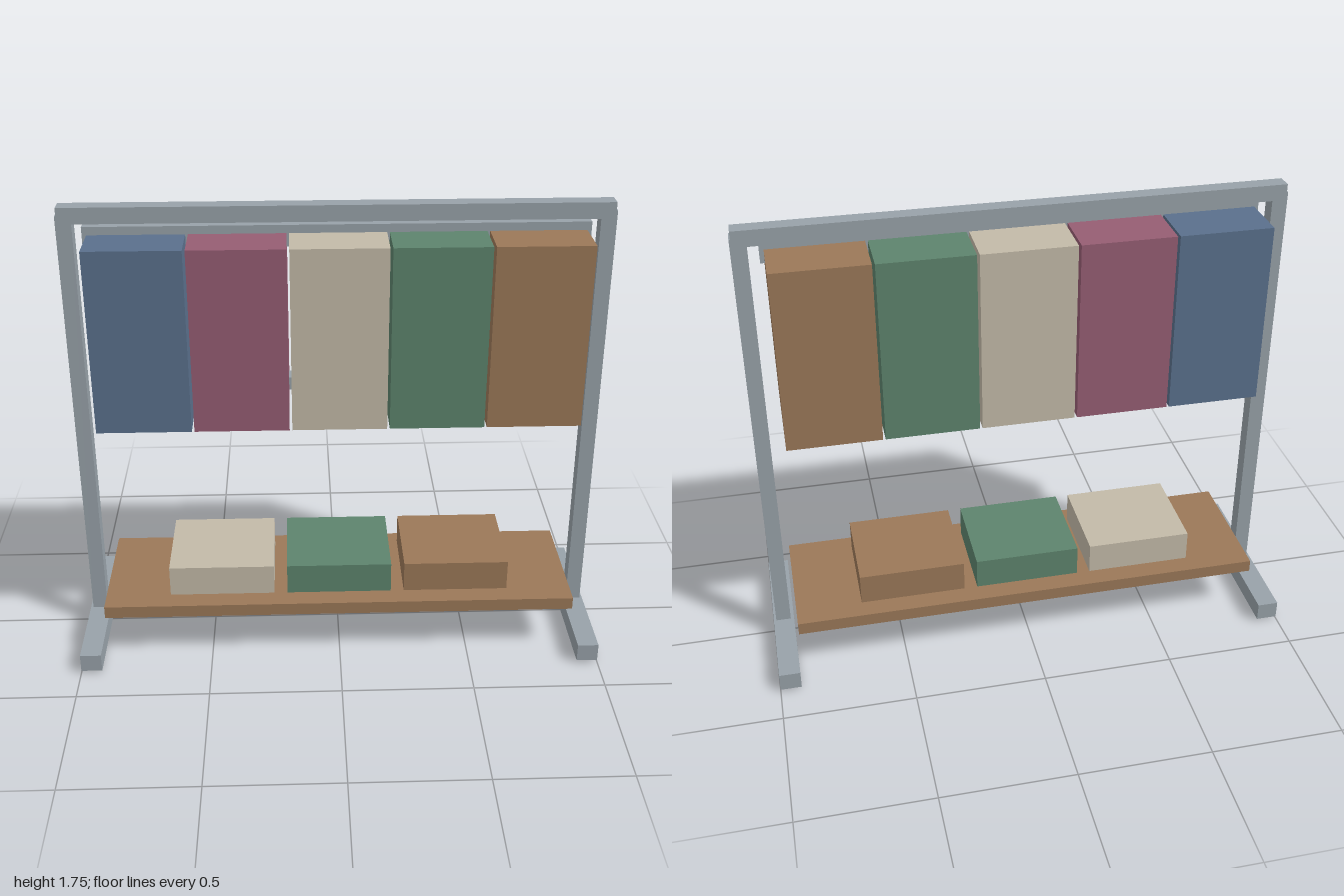
import * as THREE from 'three';

const paint = (name, color) => {
  const m = new THREE.MeshStandardMaterial({ color });
  m.name = name;
  return m;
};

export function createModel() {
  const steel = paint('grey steel', 0x98a2a9);
  const wood = paint('warm brown', 0x9b7858);
  const blue = paint('slate blue', 0x5a708c);
  const rose = paint('dusty rose', 0x965d73);
  const cream = paint('cream', 0xc3baa8);
  const green = paint('sage green', 0x5d846d);

  const rack = new THREE.Group();
  rack.name = 'garmentRack';

  // Box given by its minimum and maximum on each axis
  const block = (name, material, [x0, x1], [y0, y1], [z0, z1]) => {
    const mesh = new THREE.Mesh(new THREE.BoxGeometry(x1 - x0, y1 - y0, z1 - z0), material);
    mesh.position.set((x0 + x1) / 2, (y0 + y1) / 2, (z0 + z1) / 2);
    mesh.name = name;
    rack.add(mesh);
  };

  // Posts and feet on both sides
  for (const [side, s] of [['left', 1], ['right', -1]]) {
    const span = (a, b) => (s > 0 ? [a, b] : [-b, -a]);
    block(side + 'Post', steel, span(0.933, 0.99), [0, 1.72], [-0.029, 0.029]);
    block(side + 'Foot', steel, span(0.92, 1), [0.008, 0.078], [-0.354, 0.354]);
  }

  // Top beam, hanging rail and the brace hidden between the garments
  block('topBeam', steel, [-0.985, 0.985], [1.69, 1.75], [-0.03, 0.03]);
  block('hangingRail', steel, [-0.895, 0.895], [1.61, 1.69], [0.005, 0.06]);
  block('lowerBrace', steel, [-0.8, 0.8], [1.04, 1.09], [-0.03, 0.03]);

  // Row of hanging garments
  [blue, rose, cream, green, wood].forEach((material, i) => {
    const x = (i - 2) * 0.3535;
    block('garment' + (i + 1), material, [x - 0.172, x + 0.172], [0.973, 1.66], [-0.193, 0.233]);
  });

  // Bottom shelf with folded stacks
  block('shelf', wood, [-0.908, 0.908], [0.18, 0.229], [-0.252, 0.252]);
  [cream, green, wood].forEach((material, i) => {
    const x = (i - 1) * 0.455;
    block('foldedStack' + (i + 1), material, [x - 0.202, x + 0.202], [0.235, 0.356], [-0.182, 0.182]);
  });

  return rack;
}
